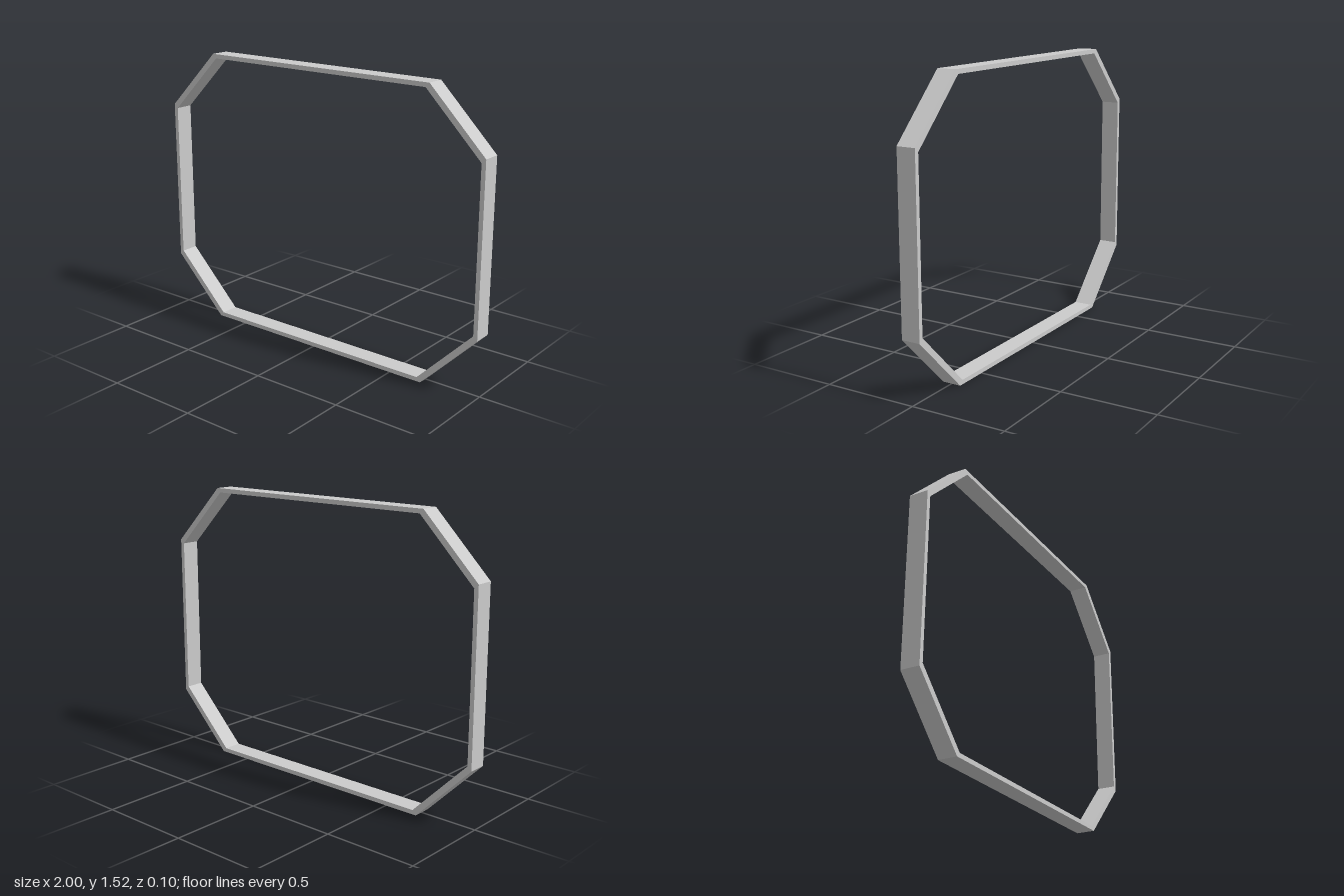
import * as THREE from 'three';

const HALF_WIDTH = 1, HALF_HEIGHT = 0.76, CUT = 0.313;
const WALL = 0.023, DEPTH = 0.1;

// Corners of a rectangle with its four corners cut at 45 degrees, counter-clockwise
function cutRectangle(w, h, cut) {
  return [
    [w, cut - h], [w, h - cut], [w - cut, h], [cut - w, h],
    [-w, h - cut], [-w, cut - h], [cut - w, -h], [w - cut, -h],
  ].map(([x, y]) => new THREE.Vector2(x, y));
}

export function createModel() {
  const group = new THREE.Group();
  group.name = 'octagonalFrame';

  // Thin eight-sided band, open through the middle
  const outline = new THREE.Shape(cutRectangle(HALF_WIDTH, HALF_HEIGHT, CUT));
  outline.holes.push(new THREE.Path(cutRectangle(HALF_WIDTH - WALL, HALF_HEIGHT - WALL, CUT - 0.002)));
  const geometry = new THREE.ExtrudeGeometry(outline, { depth: DEPTH, bevelEnabled: false });
  geometry.translate(0, HALF_HEIGHT, -DEPTH / 2);

  const frame = new THREE.Mesh(
    geometry,
    new THREE.MeshStandardMaterial({ color: 0xcccccc, flatShading: true })
  );
  frame.name = 'frame';
  group.add(frame);
  return group;
}
